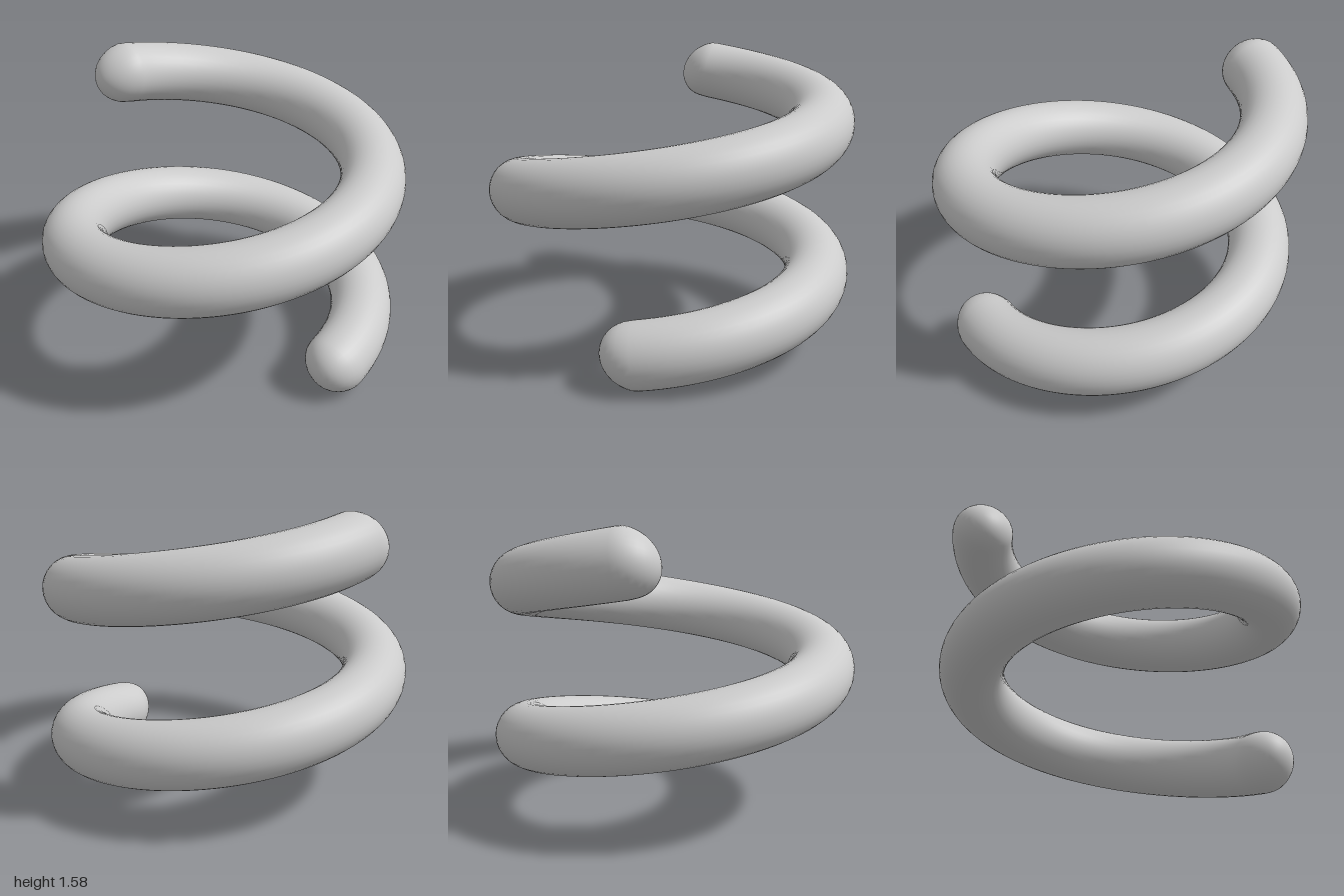
import * as THREE from 'three';
import { mergeVertices } from 'three/addons/utils/BufferGeometryUtils.js';

const COIL_RADIUS = 0.825;
const TUBE_RADIUS = 0.173;
const RISE = 0.835 / (2 * Math.PI); // height gained per radian
const BASE = 0.157;
const TURN = 3 * Math.PI; // one and a half turns
const OVERHANG = 0.155; // angle the rounded tips run past the half turns
const CAP = 0.225; // angle covered by each rounded tip
const SIDES = 32;

// Ring angles and radii: rounded tip, even body, rounded tip
function ringList() {
  const start = -OVERHANG, end = TURN + OVERHANG;
  const rings = [], capSteps = 10, bodySteps = 150;
  for (let i = 0; i < capSteps; i++) {
    const a = (i / capSteps) * Math.PI / 2;
    rings.push([start + CAP * (1 - Math.cos(a)), TUBE_RADIUS * Math.sin(a)]);
  }
  for (let i = 0; i <= bodySteps; i++) {
    rings.push([THREE.MathUtils.lerp(start + CAP, end - CAP, i / bodySteps), TUBE_RADIUS]);
  }
  for (let i = capSteps - 1; i >= 0; i--) {
    const a = (i / capSteps) * Math.PI / 2;
    rings.push([end - CAP * (1 - Math.cos(a)), TUBE_RADIUS * Math.sin(a)]);
  }
  return rings;
}

// Sweep the rings along the helix; the tips level out
function coilGeometry() {
  const rings = ringList(), positions = [], index = [];
  rings.forEach(([t, r], i) => {
    const y = BASE + RISE * THREE.MathUtils.clamp(t, 0.03, TURN - 0.03);
    const out = new THREE.Vector3(Math.cos(t), 0, -Math.sin(t));
    const along = new THREE.Vector3(-COIL_RADIUS * Math.sin(t), RISE, -COIL_RADIUS * Math.cos(t)).normalize();
    const up = along.clone().cross(out);
    const centre = out.clone().multiplyScalar(COIL_RADIUS).setY(y);
    for (let j = 0; j < SIDES; j++) {
      const a = (j / SIDES) * 2 * Math.PI;
      const p = centre.clone().addScaledVector(out, r * Math.cos(a)).addScaledVector(up, r * Math.sin(a));
      positions.push(p.x, p.y, p.z);
      if (i < rings.length - 1) {
        const k = (j + 1) % SIDES, row = i * SIDES, next = row + SIDES;
        index.push(row + j, row + k, next + j, row + k, next + k, next + j);
      }
    }
  });
  const geometry = new THREE.BufferGeometry();
  geometry.setAttribute('position', new THREE.Float32BufferAttribute(positions, 3));
  geometry.setIndex(index);
  const merged = mergeVertices(geometry, 1e-5);
  merged.computeVertexNormals();
  return merged;
}

export function createModel() {
  const group = new THREE.Group();
  group.name = 'spring';
  const coil = new THREE.Mesh(coilGeometry(), new THREE.MeshStandardMaterial({ color: 0xcccccc }));
  coil.name = 'coil';
  group.add(coil);
  return group;
}
